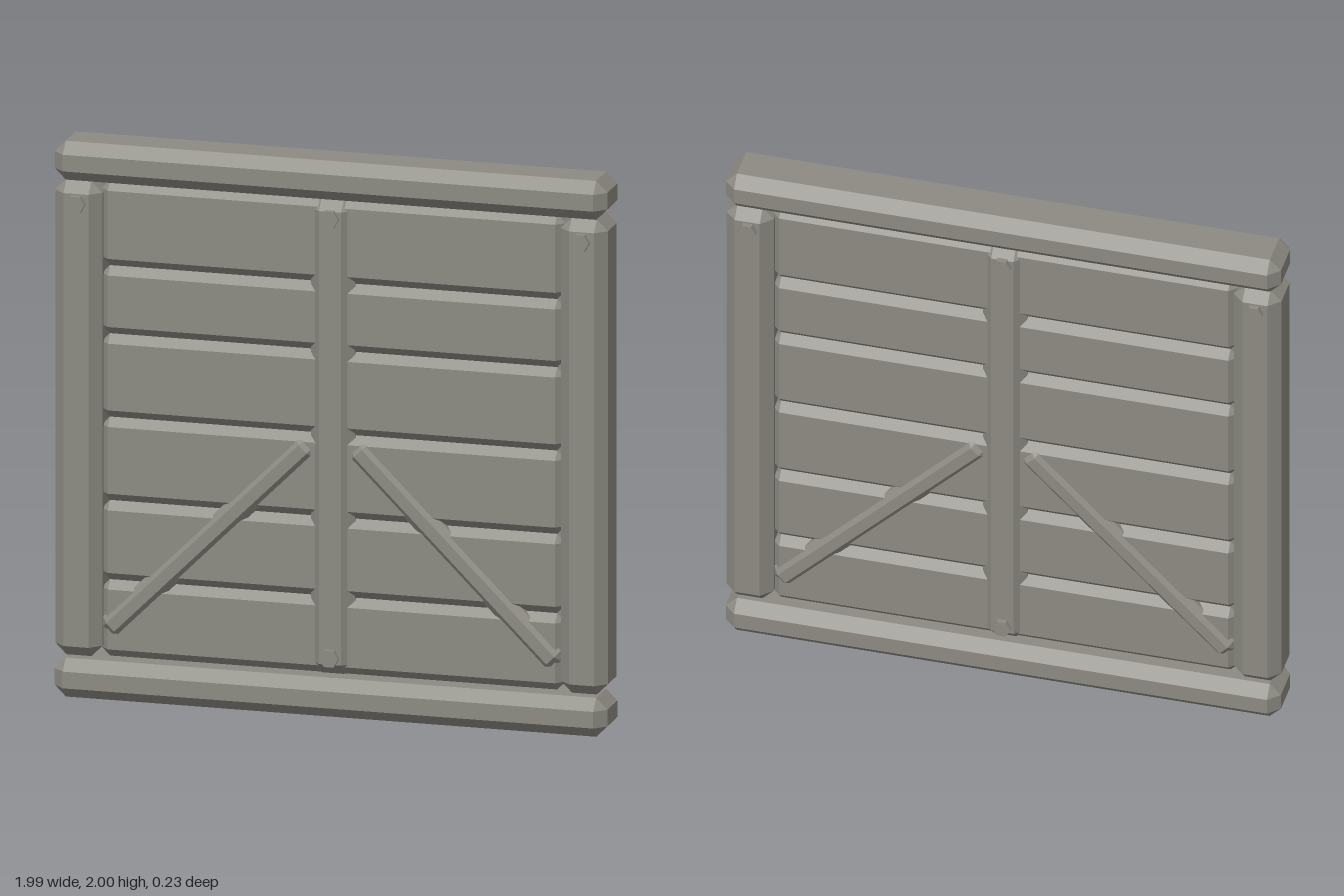
import * as THREE from 'three';
import { ConvexGeometry } from 'three/addons/geometries/ConvexGeometry.js';

// Box with every edge and corner cut by a single flat chamfer
function chamferBox(w, h, d, c) {
  const half = [w / 2, h / 2, d / 2];
  const points = [];
  for (const sx of [-1, 1]) for (const sy of [-1, 1]) for (const sz of [-1, 1]) {
    const s = [sx, sy, sz];
    for (let axis = 0; axis < 3; axis++) {
      points.push(new THREE.Vector3(...half.map((v, i) => s[i] * (i === axis ? v : v - c))));
    }
  }
  return new ConvexGeometry(points);
}

export function createModel() {
  const group = new THREE.Group();
  group.name = 'woodenPanel';
  const wood = new THREE.MeshStandardMaterial({ color: 0x8c8a82, flatShading: true });
  wood.name = 'weathered grey';

  function add(name, geometry, x, y, z = 0, angle = 0) {
    const mesh = new THREE.Mesh(geometry, wood);
    mesh.name = name;
    mesh.position.set(x, y, z);
    mesh.rotation.z = angle;
    group.add(mesh);
  }

  // Top and bottom rails
  const rail = chamferBox(1.99, 0.14, 0.206, 0.04);
  add('topRail', rail, 0, 1.93);
  add('bottomRail', rail, 0, 0.07);

  // Horizontal planks
  const joints = [0.15, 0.425, 0.71, 1.01, 1.31, 1.555, 1.86];
  for (let i = 0; i < joints.length - 1; i++) {
    const height = joints[i + 1] - joints[i];
    add('plank' + (i + 1), chamferBox(1.67, height, 0.12, 0.03), 0, joints[i] + height / 2);
  }

  // Centre post
  add('centrePost', chamferBox(0.16, 1.71, 0.156, 0.04), 0, 1.005);

  // Hexagonal bolt heads, passing through to both faces
  const bolt = (depth) => new THREE.CylinderGeometry(0.034, 0.034, depth, 6)
    .rotateY(Math.PI / 6).rotateX(Math.PI / 2);
  add('upperCentreBolt', bolt(0.19), 0, 1.795);
  add('lowerCentreBolt', bolt(0.19), 0, 0.215);

  // Side posts, their bolts and the diagonal braces
  const post = chamferBox(0.17, 1.71, 0.19, 0.04);
  const brace = chamferBox(1.03, 0.09, 0.15, 0.025);
  for (const [side, s] of [['left', 1], ['right', -1]]) {
    add(side + 'Post', post, s * 0.91, 1.005);
    add(side + 'Bolt', bolt(0.23), s * 0.908, 1.785);
    add(side + 'Brace', brace, s * 0.446, 0.61, 0, -s * Math.PI / 4);
  }
  return group;
}
